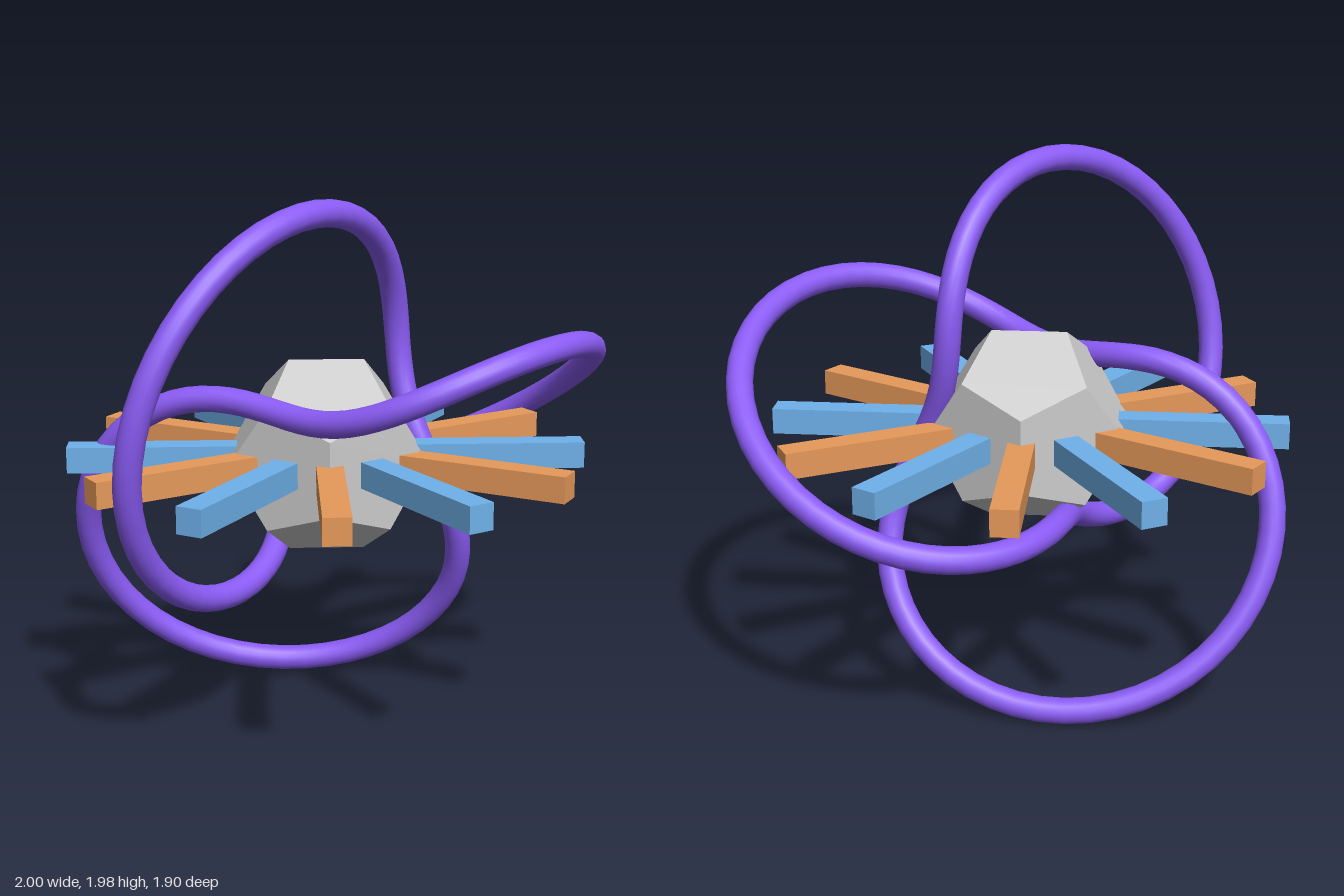
import * as THREE from 'three';

const paint = (color, flatShading = false) => {
  const m = new THREE.MeshStandardMaterial({ flatShading });
  m.color.set(color);
  return m;
};

export function createModel() {
  const model = new THREE.Group();
  model.name = 'knotSculpture';
  model.position.set(0, 0, 0);

  // Everything shares one centre
  const assembly = new THREE.Group();
  assembly.name = 'assembly';
  assembly.position.set(-0.05, 1.008, 0);
  model.add(assembly);

  // Faceted core
  const core = new THREE.Mesh(new THREE.DodecahedronGeometry(0.385), paint(0xcccccc, true));
  core.name = 'core';
  assembly.add(core);

  // Tilted trefoil ring
  const knot = new THREE.Mesh(new THREE.TorusKnotGeometry(0.718, 0.048, 160, 16, 2, 3), paint(0x8b5cf6));
  knot.name = 'knot';
  knot.rotation.set(0.63, 0.4, 0);
  assembly.add(knot);

  // Twelve radial bars in alternating colours
  const inner = 0.25, outer = 0.95, thick = 0.096;
  const bar = new THREE.BoxGeometry(outer - inner, thick, thick);
  bar.translate((inner + outer) / 2, 0, 0);
  const blue = paint(0x6fb1ea), orange = paint(0xe6995a);
  const spokes = new THREE.Group();
  spokes.name = 'spokes';
  for (let i = 0; i < 12; i++) {
    const spoke = new THREE.Mesh(bar, i % 2 ? orange : blue);
    spoke.name = 'spoke' + (i + 1);
    spoke.rotation.y = (i * Math.PI) / 6;
    spokes.add(spoke);
  }
  assembly.add(spokes);

  return model;
}
